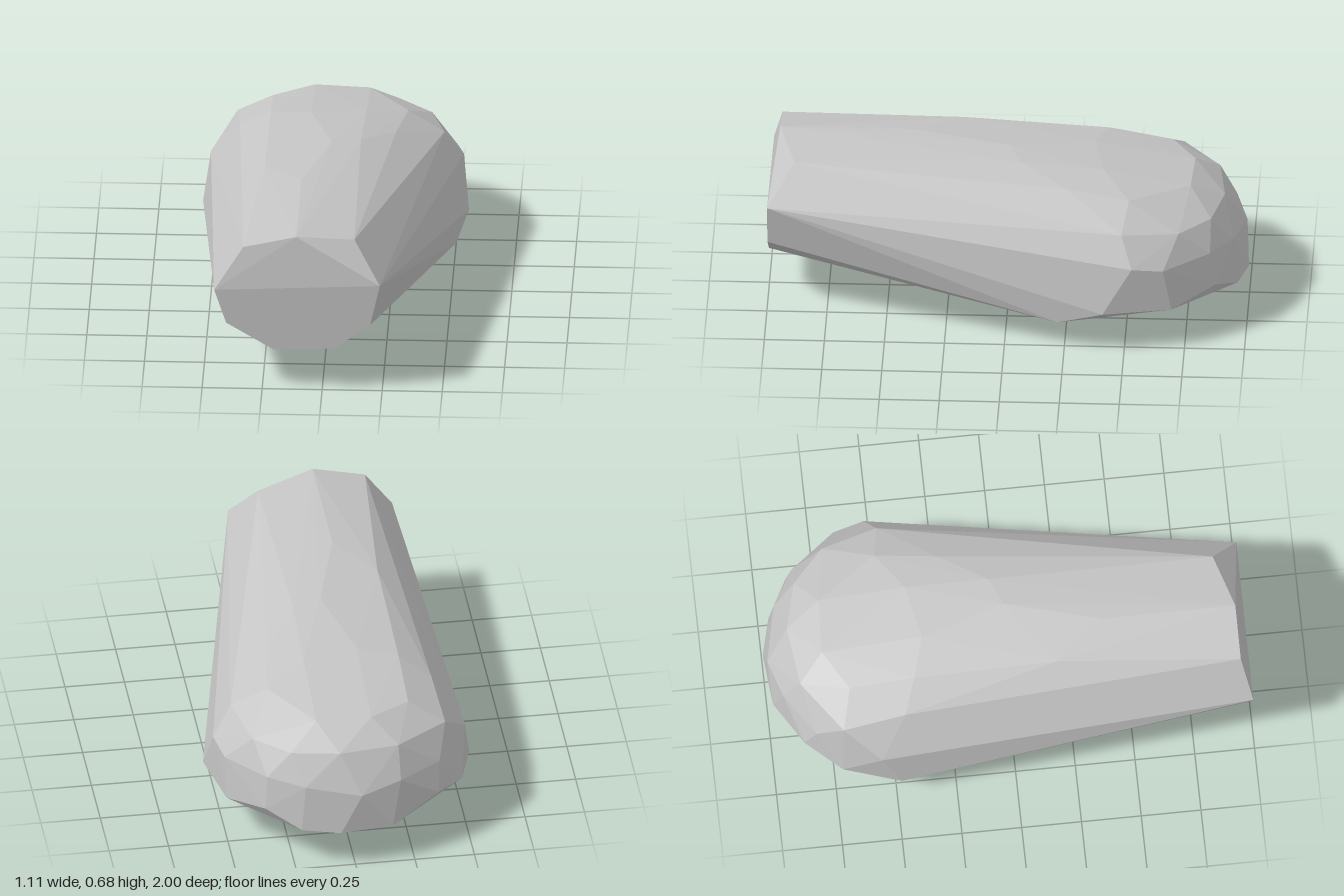
import * as THREE from 'three';
import { ConvexGeometry } from 'three/addons/geometries/ConvexGeometry.js';

// Corner points of the boulder, grouped by region: [x, y, z]
const cutFace = [
  [-0.45, 0.45, 1], [-0.4, 0.3, 1], [-0.2, 0.18, 1], [0.05, 0.19, 1], [0.2, 0.3, 1], [0.24, 0.48, 1],
  [-0.33, 0.63, 0.96], [-0.11, 0.68, 0.96], [0.13, 0.64, 0.89],
];
const underside = [
  [-0.12, 0.005, -0.48], [0.04, 0, -0.33], [0.07, 0.005, -0.53], [0.51, 0.115, -0.22], [-0.5, 0.115, -0.25],
];
const widestRim = [
  [0.555, 0.18, -0.41], [0.497, 0.18, -0.695], [0.36, 0.23, -0.875], [0.22, 0.165, -0.96], [0.06, 0.16, -1],
  [-0.16, 0.165, -0.98], [-0.37, 0.24, -0.87], [-0.49, 0.2, -0.72], [-0.555, 0.17, -0.48],
];
const shoulder = [
  [0.53, 0.38, -0.53], [0.5, 0.36, -0.66], [0.35, 0.37, -0.85], [0.2, 0.36, -0.94], [-0.03, 0.33, -0.99],
  [-0.2, 0.36, -0.94], [-0.38, 0.36, -0.82], [-0.525, 0.36, -0.56], [-0.42, 0.48, -0.71],
];
const crown = [
  [0.45, 0.5, -0.485], [0.39, 0.48, -0.72], [0.25, 0.48, -0.85], [0.05, 0.49, -0.9], [-0.2, 0.49, -0.87],
  [0.13, 0.57, -0.76], [-0.1, 0.575, -0.77], [-0.27, 0.57, -0.67], [0.3, 0.585, -0.51],
  [0.26, 0.61, -0.25], [0.13, 0.635, -0.4], [-0.1, 0.645, -0.35], [-0.27, 0.62, -0.4], [-0.4, 0.54, -0.45],
  [0, 0.673, 0], [0.12, 0.66, -0.05], [-0.27, 0.655, 0.2], [-0.11, 0.68, 0.4],
];

export function createModel() {
  const group = new THREE.Group();
  group.name = 'rock';
  const stone = new THREE.MeshStandardMaterial({ color: 0xc4c4c4 });
  stone.name = 'light stone grey';

  // Faceted boulder: the convex skin around all its corners
  const corners = [cutFace, underside, widestRim, shoulder, crown]
    .flat()
    .map((p) => new THREE.Vector3(...p));
  const boulder = new THREE.Mesh(new ConvexGeometry(corners), stone);
  boulder.name = 'boulder';
  group.add(boulder);
  return group;
}
